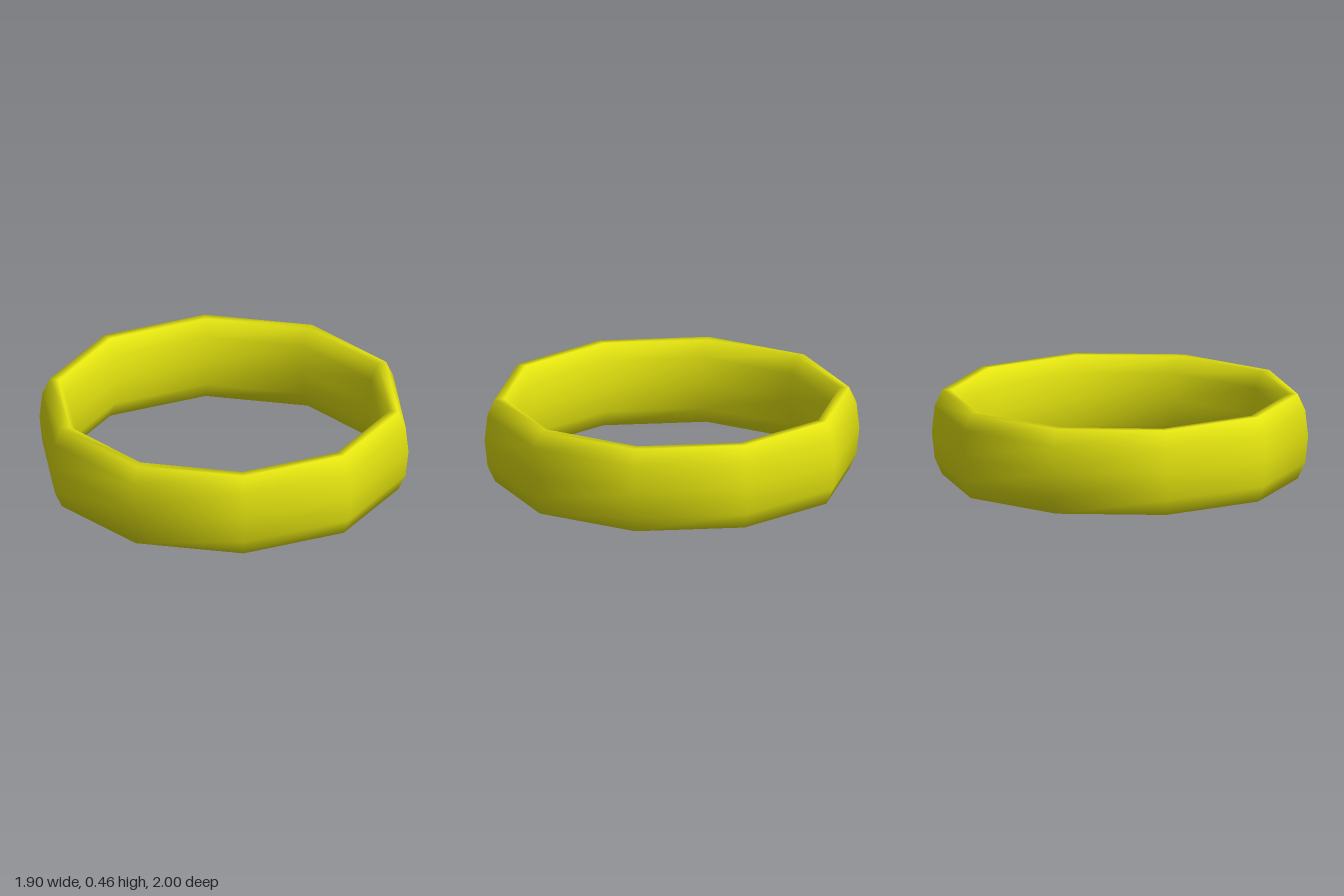
import * as THREE from 'three';

const SIDES = 10;          // sides around the ring and around its section
const RING_RADIUS = 0.92;  // centre line of the band
const HALF_THICKNESS = 0.08;
const HEIGHT = 0.46;

export function createModel() {
  const group = new THREE.Group();
  group.name = 'ring';

  // Ten-sided torus laid flat, with corners on the z axis
  const geometry = new THREE.TorusGeometry(RING_RADIUS, HALF_THICKNESS, SIDES, SIDES);
  geometry.rotateX(-Math.PI / 2);
  geometry.rotateY(Math.PI / 2);

  // Stretch upright into a tall band; its section is widest at 72 degrees
  const sectionHeight = 2 * HALF_THICKNESS * Math.sin(THREE.MathUtils.degToRad(72));
  geometry.scale(1, HEIGHT / sectionHeight, 1);
  geometry.translate(0, HEIGHT / 2, 0);

  const band = new THREE.Mesh(geometry, new THREE.MeshStandardMaterial({ color: 0xe5e510 }));
  band.name = 'band';
  group.add(band);
  return group;
}
